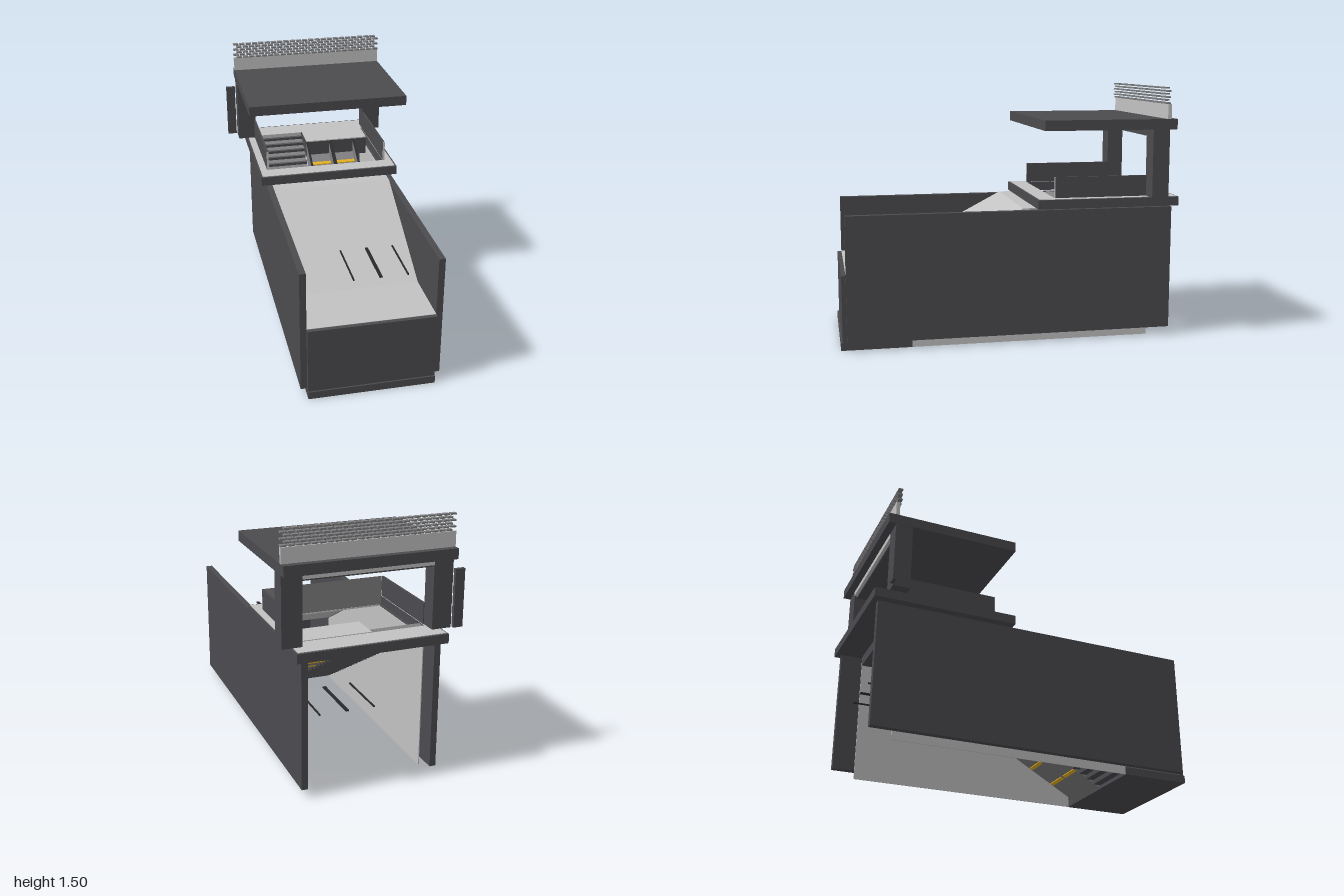
import * as THREE from 'three';

export function createModel() {
  const root = new THREE.Group();
  root.name = 'undergroundEntrance';
  const mat = (name, color, extra = {}) => {
    const m = new THREE.MeshStandardMaterial({ color, ...extra });
    m.name = name;
    return m;
  };
  const dark = mat('darkCladding', 0x4b4a4e);
  const light = mat('lightConcrete', 0xc2c2c2, { side: THREE.DoubleSide });
  const grey = mat('steelGrey', 0x808082);
  const black = mat('rubberBlack', 0x29292b);
  const yellow = mat('safetyYellow', 0xf0b820);

  const add = (name, geo, m, parent = root) => {
    const mesh = new THREE.Mesh(geo, m);
    mesh.name = name;
    parent.add(mesh);
    return mesh;
  };
  // Box given by its two extremes on each axis
  const box = (name, m, x0, x1, y0, y1, z0, z1, parent) => {
    const g = new THREE.BoxGeometry(x1 - x0, y1 - y0, z1 - z0);
    g.translate((x0 + x1) / 2, (y0 + y1) / 2, (z0 + z1) / 2);
    return add(name, g, m, parent);
  };
  // Extrudes a side profile of [z, y] points from x0 to x1
  const profile = (name, m, pts, x0, x1, parent) => {
    const s = new THREE.Shape(pts.map(([z, y]) => new THREE.Vector2(-z, y)));
    const g = new THREE.ExtrudeGeometry(s, { depth: x1 - x0, bevelEnabled: false });
    g.rotateY(Math.PI / 2).translate(x0, 0, 0);
    return add(name, g, m, parent);
  };
  // Flat horizontal frame with a rectangular opening
  const frame = (name, m, [x0, x1, z0, z1], [a0, a1, b0, b1], y, h) => {
    const rect = (P, l, r, n, f) => {
      const p = new P();
      p.moveTo(l, -f).lineTo(r, -f).lineTo(r, -n).lineTo(l, -n).closePath();
      return p;
    };
    const s = rect(THREE.Shape, x0, x1, z0, z1);
    s.holes.push(rect(THREE.Path, a0, a1, b0, b1));
    const g = new THREE.ExtrudeGeometry(s, { depth: h, bevelEnabled: false });
    g.rotateX(-Math.PI / 2).translate(0, y, 0);
    return add(name, g, m);
  };

  // Trench walls, with pale linings below the tunnel ceiling only
  box('rightWall', dark, -0.378, -0.341, 0.05, 0.79, -0.97, 0.965);
  box('leftWall', dark, 0.395, 0.432, 0.05, 0.79, -0.97, 0.965);
  const liningSide = [[-0.84, 0], [0.59, 0], [0.59, 0.436], [-0.072, 0.788], [-0.84, 0.788]];
  profile('rightLining', light, liningSide, -0.341, -0.336);
  profile('leftLining', light, liningSide, 0.39, 0.395);
  box('frontWall', dark, -0.341, 0.396, 0.045, 0.44, 0.965, 0.99);
  box('lowerLanding', dark, -0.341, 0.396, 0, 0.045, 0.59, 1);

  // Sloped tunnel ceiling
  profile('tunnelCeiling', light, [
    [-0.255, 0.799], [-0.07, 0.799], [0.61, 0.442], [0.965, 0.442],
    [0.965, 0.434], [0.608, 0.434], [-0.072, 0.791], [-0.255, 0.791],
  ], -0.341, 0.395);

  // Street-level slab around the opening
  const hole = [-0.345, 0.4, -0.84, -0.255];
  frame('streetSlab', dark, [-0.41, 0.465, -1, -0.145], hole, 0.8, 0.054);
  frame('streetPaving', light, [-0.4, 0.455, -0.987, -0.157], hole, 0.854, 0.003);

  // Parapets beside the opening, and the one-sided end panel
  for (const [side, x0, x1] of [['right', -0.358, -0.346], ['left', 0.401, 0.413]]) {
    box(side + 'Parapet', dark, x0, x1, 0.857, 0.98, -0.815, -0.258);
    box(side + 'ParapetEnd', light, x0, x1, 0.857, 0.98, -0.258, -0.255);
  }
  const end = new THREE.PlaneGeometry(0.745, 0.18).rotateY(Math.PI);
  add('endParapet', end.translate(0.0275, 0.89, -0.256), grey);

  // Fixed stairs
  const N = 30, z0 = 0.59, run = 1.43 / N, rise = 0.81 / N;
  const stairs = new THREE.Group();
  stairs.name = 'stairs';
  root.add(stairs);
  for (let i = 0; i < N; i++) {
    const y = 0.045 + rise * (i + 1), z = z0 - run * i;
    box('stairStep', dark, -0.336, -0.035, Math.max(y - 0.05, 0), y - 0.009, z - run, z, stairs);
    box('stairTread', grey, -0.336, -0.035, y - 0.009, y, z - run, z + 0.004, stairs);
  }

  // Landing plates at the head of the escalators
  box('upperLanding', light, -0.025, 0.39, 0.854, 0.861, -0.84, -0.66);
  box('upperLandingBase', dark, -0.025, 0.39, 0.74, 0.854, -0.84, -0.66);

  // Two escalators: belts, yellow step lines, balustrades and handrails
  const top = -0.66;
  const belt = (z) => 0.045 + (z0 - z) * 0.572;
  // Sloping strip following the belt, between two heights above it
  const sloped = (name, m, za, zb, low, high, x0, x1, parent) =>
    profile(name, m, [
      [zb, belt(zb) + low], [zb, belt(zb) + high], [za, belt(za) + high], [za, belt(za) + low],
    ], x0, x1, parent);
  for (const x of [-0.025, 0.14]) {
    const esc = new THREE.Group();
    esc.name = 'escalator';
    root.add(esc);
    sloped('escalatorBelt', grey, top, z0, -0.035, 0, x + 0.01, x + 0.155, esc);
    for (let z = -0.59; z < 0.5; z += 0.145) {
      sloped('stepLine', yellow, z - 0.009, z + 0.009, -0.04, 0.005, x + 0.012, x + 0.153, esc);
    }
    for (const bx of [x, x + 0.155]) {
      sloped('balustrade', grey, top, z0, -0.035, 0.085, bx, bx + 0.01, esc);
      const rx = bx + 0.005;
      sloped('handrail', black, top, z0, 0.085, 0.095, rx - 0.006, rx + 0.006, esc);
      box('frontRail', black, rx - 0.004, rx + 0.004, 0.565, 0.573, 0.37, 0.72, esc);
      box('rearRail', black, rx - 0.004, rx + 0.004, 0.44, 0.448, -0.9, -0.55, esc);
    }
  }

  // Portal, canopy and side sign board
  box('rightPillar', dark, -0.465, -0.35, 0.857, 1.26, -0.915, -0.815);
  box('leftPillar', dark, 0.403, 0.52, 0.857, 1.26, -0.915, -0.815);
  box('portalBeam', dark, -0.35, 0.403, 1.212, 1.26, -0.9, -0.82);
  box('portalLightBar', light, -0.35, 0.403, 1.225, 1.255, -0.918, -0.9);
  box('canopy', dark, -0.468, 0.521, 1.258, 1.318, -0.96, -0.17);
  box('sideBoard', dark, -0.527, -0.47, 0.86, 1.195, -0.935, -0.913);
  box('fasciaBoard', light, -0.468, 0.521, 1.318, 1.405, -0.922, -0.9);

  // Open lattice of staggered blocks on the fascia
  const lattice = new THREE.Group();
  lattice.name = 'lattice';
  root.add(lattice);
  for (let r = 0; r < 6; r++) {
    for (let i = 0; i < 23; i++) {
      const x = -0.47 + i * 0.0425 + (r % 2 ? 0 : 0.021), y = 1.405 + r * 0.0174;
      box('latticeBlock', grey, x, x + 0.034, y, y + 0.009, -0.915, -0.888, lattice);
    }
  }
  return root;
}
